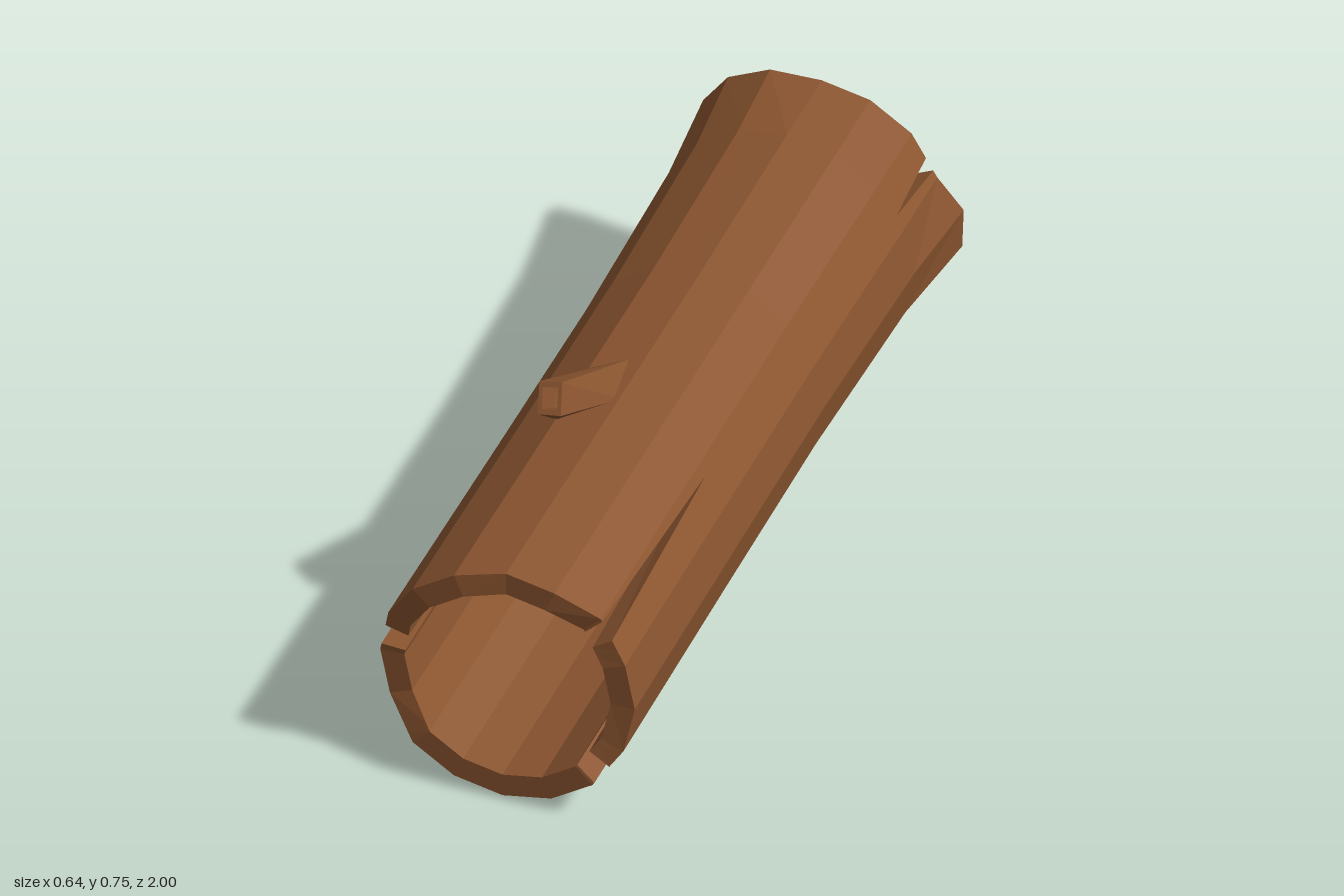
import * as THREE from 'three';

const CENTRE_Y = 0.31, SIDES = 16, WALL = 0.057;

// End outlines, one entry per side, counter-clockwise from +x
const backRadius = [.32, .3, .3, .3, .3, .32, .325, .325, .325, .325, .32, .305, .31, .31, .33, .33];
const backZ = [-.97, -.92, -.93, -.93, -.93, -.93, -.95, -.98, -.98, -.98, -.95, -.95, -.95, -.96, -1, -1];
const frontZ = [.97, .97, .95, .98, .98, 1, 1, .98, .97, .97, 1, 1, 1, 1, 1, .98];

// Splits: position around the log in sides, half width, and which end they open at
const cracks = [
  { at: 1.3, half: 0.14, end: 'back' },
  { at: 1.74, half: 0.2, end: 'front' },
  { at: 7.6, half: 0.25, end: 'front' },
  { at: 9.8, half: 0.15, end: 'back' },
  { at: 14.3, half: 0.24, end: 'front' },
  { at: 14.85, half: 0.12, end: 'back' },
];

// Rings from front to back
const rings = [
  { z: i => frontZ[i], r: () => 0.301, end: 'front' },
  { z: () => 0.35, r: () => 0.296 },
  { z: () => -0.2, r: () => 0.293 },
  { z: () => -0.72, r: i => 0.27 + 0.1 * backRadius[i] },
  { z: i => backZ[i], r: i => backRadius[i], end: 'back' },
];

// Point on a ring; positions between sides lie on the flat facet
function ringPoint(ring, t, inset) {
  const corner = k => {
    const i = k % SIDES, a = (i / SIDES) * Math.PI * 2, r = ring.r(i) - inset;
    return new THREE.Vector3(Math.cos(a) * r - 0.004, CENTRE_Y + Math.sin(a) * r, ring.z(i));
  };
  const k = Math.floor(t);
  return corner(k).lerp(corner(k + 1), t - k);
}

// Collects quads (counter-clockwise from outside) into one faceted geometry
function quadBuilder() {
  const pos = [];
  return {
    quad(a, b, c, d) {
      for (const p of [a, b, c, a, c, d]) pos.push(p.x, p.y, p.z);
    },
    build() {
      const g = new THREE.BufferGeometry();
      g.setAttribute('position', new THREE.Float32BufferAttribute(pos, 3));
      g.computeVertexNormals();
      return g;
    },
  };
}

function hollowTrunk() {
  // Lengthwise edges: every side corner, plus a pair for each crack
  const columns = [];
  for (let i = 0; i < SIDES; i++) columns.push({ t: i });
  for (const crack of cracks) {
    columns.push({ t: crack.at - crack.half, crack, dir: -1 }, { t: crack.at + crack.half, crack, dir: 1 });
  }
  columns.sort((a, b) => a.t - b.t);

  const grid = inset => rings.map(ring => columns.map(c => {
    // Crack edges meet everywhere except at their open end
    const t = c.crack ? c.crack.at + (ring.end === c.crack.end ? c.dir * c.crack.half : 0) : c.t;
    return ringPoint(ring, t, inset);
  }));
  const O = grid(0), I = grid(WALL), q = quadBuilder(), last = rings.length - 1;

  columns.forEach((col, j) => {
    const n = (j + 1) % columns.length;
    if (col.dir === -1) {
      // Side walls of the split
      const f = col.crack.end === 'front' ? 0 : last - 1, b = f + 1;
      q.quad(O[f][j], O[b][j], I[b][j], I[f][j]);
      q.quad(O[f][n], I[f][n], I[b][n], O[b][n]);
    }
    for (let i = 0; i < last; i++) {
      if (col.dir === -1) continue;
      q.quad(O[i][j], O[i + 1][j], O[i + 1][n], O[i][n]);
      q.quad(I[i][j], I[i][n], I[i + 1][n], I[i + 1][j]);
    }
    // End rims, left open across a split at that end
    if (!(col.dir === -1 && col.crack.end === 'front')) q.quad(O[0][j], O[0][n], I[0][n], I[0][j]);
    if (!(col.dir === -1 && col.crack.end === 'back')) q.quad(O[last][j], I[last][j], I[last][n], O[last][n]);
  });
  return q.build();
}

function hollowBranch() {
  const V = (x, y, z) => new THREE.Vector3(x, y, z);
  // Corners counter-clockwise seen from the tip
  const tip = [V(-.115, .682, .505), V(-.06, .692, .505), V(-.074, .75, .46), V(-.128, .738, .46)];
  const base = [V(-.125, .56, .36), V(-.01, .585, .27), V(-.037, .59, .13), V(-.13, .57, .18)];
  const middle = c => c.reduce((s, p) => s.add(p), V(0, 0, 0)).multiplyScalar(0.25);
  const inset = c => c.map(p => p.clone().lerp(middle(c), 0.33));
  const lip = inset(tip), deepBase = inset(base);
  const floor = lip.map((p, i) => p.clone().lerp(deepBase[i], 0.35));
  const q = quadBuilder();
  for (let i = 0; i < 4; i++) {
    const n = (i + 1) % 4;
    q.quad(base[i], base[n], tip[n], tip[i]);
    q.quad(tip[i], tip[n], lip[n], lip[i]);
    q.quad(lip[i], lip[n], floor[n], floor[i]);
  }
  q.quad(...floor);
  return q.build();
}

export function createModel() {
  const bark = new THREE.MeshStandardMaterial({ color: 0x8b5530 });
  bark.name = 'bark brown';
  bark.flatShading = true;

  const group = new THREE.Group();
  group.name = 'hollowLog';
  const add = (name, geometry) => {
    const mesh = new THREE.Mesh(geometry, bark);
    mesh.name = name;
    group.add(mesh);
  };
  add('trunk', hollowTrunk());
  add('branchStub', hollowBranch());
  return group;
}
